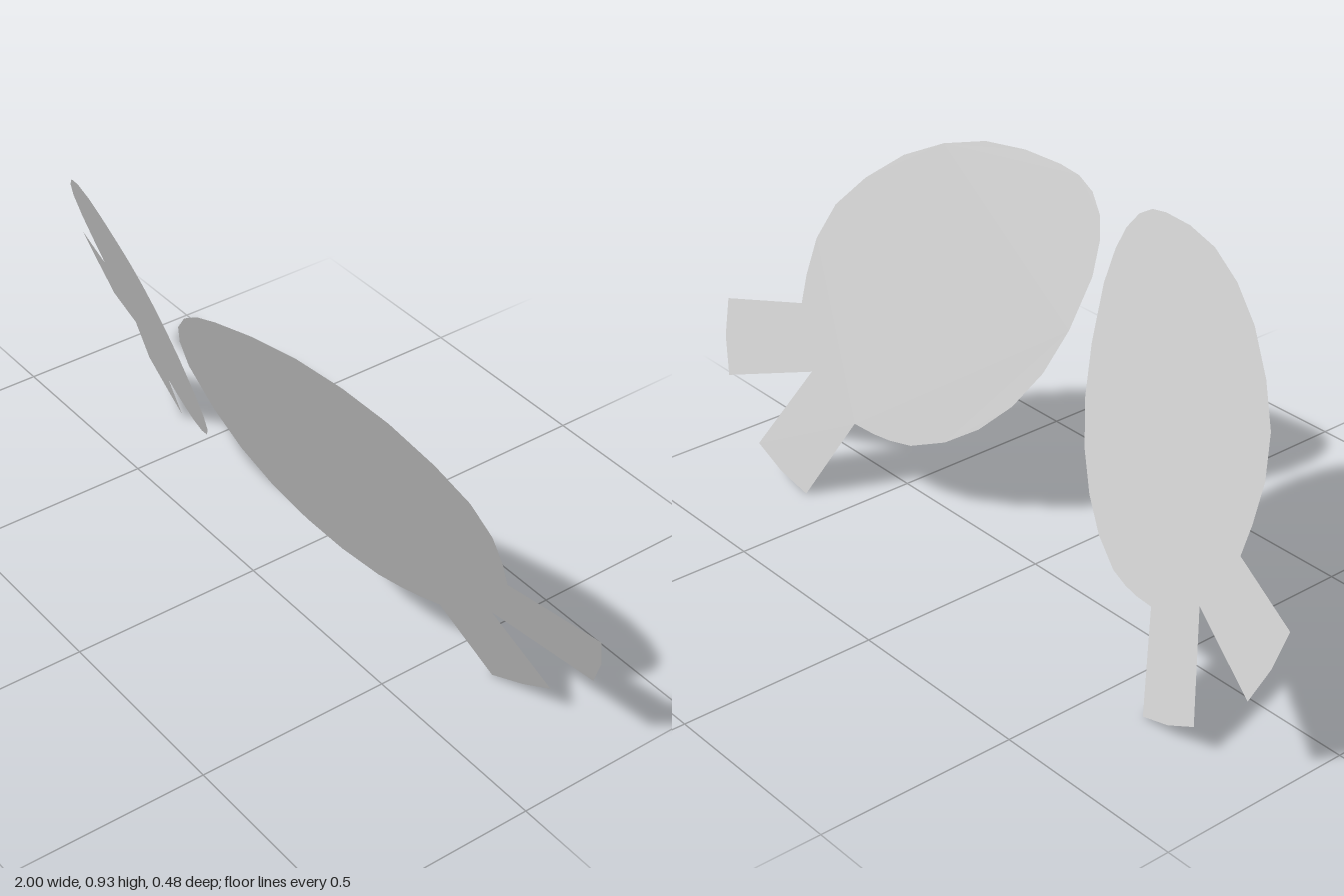
import * as THREE from 'three';

const material = new THREE.MeshStandardMaterial({ color: 0xcccccc, side: THREE.DoubleSide });

// Outlines in the front plane, for the model's left (+x) wing
const blade = [
  [0.02, 0.70], [0.027, 0.78], [0.045, 0.835], [0.08, 0.88], [0.125, 0.907], [0.18, 0.92],
  [0.28, 0.93], [0.39, 0.925], [0.50, 0.895], [0.60, 0.845], [0.69, 0.77], [0.755, 0.69],
  [0.785, 0.60], [0.787, 0.51], [0.78, 0.44], [0.70, 0.29], [0.54, 0.205], [0.48, 0.197],
  [0.43, 0.195], [0.37, 0.20], [0.28, 0.235], [0.20, 0.29], [0.13, 0.365], [0.075, 0.46],
  [0.04, 0.57],
];
const upperTail = [[0.78, 0.44], [1.0, 0.395], [0.98, 0.305], [0.94, 0.215], [0.70, 0.29]];
const lowerTail = [[0.70, 0.29], [0.80, 0.08], [0.715, 0.035], [0.625, 0.003], [0.54, 0.205]];

// Flat sheet laid onto the sloping plane of its wing
function sheet(name, outline, side) {
  const points = outline.map(([x, y]) => new THREE.Vector2(x * side, y));
  const geometry = new THREE.ShapeGeometry(new THREE.Shape(points));
  const p = geometry.attributes.position;
  for (let i = 0; i < p.count; i++) {
    p.setZ(i, -0.063 - 0.26 * Math.abs(p.getX(i)) + 0.37 * p.getY(i));
  }
  geometry.computeVertexNormals();
  const mesh = new THREE.Mesh(geometry, material);
  mesh.name = name;
  return mesh;
}

export function createModel() {
  const model = new THREE.Group();
  model.name = 'wingPair';
  for (const [side, label] of [[1, 'left'], [-1, 'right']]) {
    const wing = new THREE.Group();
    wing.name = `${label}Wing`;
    wing.add(
      sheet(`${label}Blade`, blade, side),
      sheet(`${label}UpperTail`, upperTail, side),
      sheet(`${label}LowerTail`, lowerTail, side),
    );
    model.add(wing);
  }
  return model;
}
